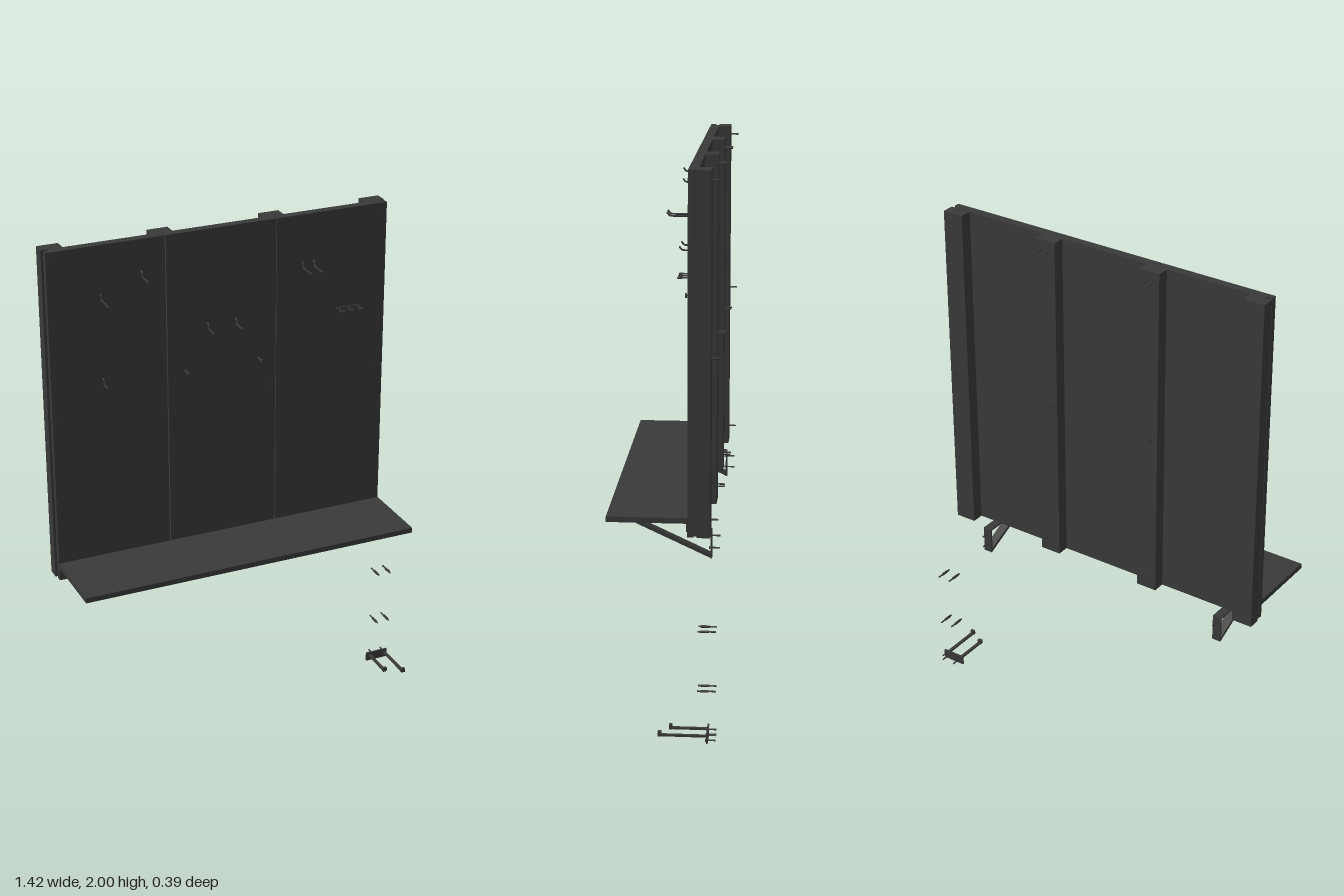
import * as THREE from 'three';

export function createModel() {
  const root = new THREE.Group();
  const charcoal = new THREE.MeshStandardMaterial({ color: 0x3a3a3a });
  charcoal.name = 'charcoal';

  const add = (name, geometry, parent = root) => {
    const mesh = new THREE.Mesh(geometry, charcoal);
    mesh.name = name;
    parent.add(mesh);
    return mesh;
  };
  // Box given by its limits on each axis
  const box = (name, [x0, x1], [y0, y1], [z0, z1], parent) => {
    const m = add(name, new THREE.BoxGeometry(x1 - x0, y1 - y0, z1 - z0), parent);
    m.position.set((x0 + x1) / 2, (y0 + y1) / 2, (z0 + z1) / 2);
    return m;
  };
  // Round bar along z
  const rod = (name, x, y, z0, z1, r, parent) => {
    const m = add(name, new THREE.CylinderGeometry(r, r, z1 - z0, 8), parent);
    m.rotation.x = Math.PI / 2;
    m.position.set(x, y, (z0 + z1) / 2);
    return m;
  };
  // Bent wire following [y, z] points in the plane at x
  const wire = (name, x, points, r, parent) => {
    const path = new THREE.CatmullRomCurve3(points.map(([y, z]) => new THREE.Vector3(x, y, z)), false, 'catmullrom', 0.2);
    return add(name, new THREE.TubeGeometry(path, points.length * 4, r, 6), parent);
  };
  const screw = (x, y, z0, z1, parent) => {
    rod('screwShank', x, y, z0, z1, 0.003, parent);
    rod('screwHead', x, y, z1 - 0.003, z1, 0.006, parent);
  };

  // Wall studs
  for (const x of [-0.675, -0.267, 0.164, 0.568]) box('stud', [x - 0.04, x + 0.04], [0.725, 2], [-0.167, -0.121]);

  // Three wall panels, each with a shallower backing frame
  for (const [a, b] of [[-0.71, -0.27], [-0.266, 0.16], [0.163, 0.604]]) {
    box('wallPanel', [a, b], [0.725, 2], [-0.109, -0.088]);
  }
  box('panelBacking', [-0.69, 0.59], [0.725, 2], [-0.121, -0.109]);

  // Panel screws along the stud lines
  for (const x of [-0.69, -0.285, -0.257, 0.147, 0.177, 0.58]) {
    for (const y of [0.785, 1.357, 1.965]) screw(x, y, -0.195, -0.086);
  }

  // Shelf board
  box('shelf', [-0.71, 0.605], [0.775, 0.795], [-0.088, 0.195]);

  // Shelf brackets: stepped back leg, top arm and sloping brace
  for (const x of [-0.573, 0.465]) {
    const bracket = new THREE.Group();
    bracket.name = 'shelfBracket';
    root.add(bracket);
    const w = [x - 0.017, x + 0.017];
    box('backLeg', w, [0.61, 0.712], [-0.167, -0.161], bracket);
    box('step', w, [0.706, 0.712], [-0.167, -0.075], bracket);
    box('frontLeg', w, [0.706, 0.775], [-0.081, -0.075], bracket);
    box('topArm', w, [0.767, 0.775], [-0.081, 0.18], bracket);
    const brace = add('brace', new THREE.BoxGeometry(0.034, 0.012, 0.358), bracket);
    brace.position.set(x, 0.693, -0.001);
    brace.rotation.x = -Math.atan2(0.15, 0.322);
    for (const y of [0.645, 0.69]) screw(x, y, -0.195, -0.155, bracket);
  }

  // Wall hooks: each has a clip at the wall, an arm and an upturned tip
  const hook = (x, y, reach) => wire('wallHook', x, [
    [y + 0.015, -0.088], [y + 0.012, -0.078], [y - 0.005, -0.072],
    [y - 0.005, reach - 0.012], [y + 0.008, reach],
  ], 0.0035);
  const hooks = [
    [-0.515, 1.805, 0.008], [-0.36, 1.868, -0.005], [-0.515, 1.485, -0.03],
    [-0.11, 1.63, -0.015], [0, 1.63, -0.015], [0.265, 1.805, 0.005], [0.31, 1.805, 0.005],
  ];
  for (const [x, y, reach] of hooks) hook(x, y, reach);

  // Round pegs
  for (const x of [-0.2, 0.09]) {
    rod('peg', x, 1.475, -0.088, -0.045, 0.004);
    rod('pegCap', x, 1.475, -0.05, -0.043, 0.009);
  }

  // Tool holder strip with three rings
  box('toolStrip', [0.405, 0.5], [1.612, 1.62], [-0.088, -0.082]);
  for (const x of [0.415, 0.453, 0.492]) {
    const ring = add('toolRing', new THREE.TorusGeometry(0.008, 0.0025, 6, 12));
    ring.rotation.x = Math.PI / 2;
    ring.position.set(x, 1.616, -0.054);
    rod('ringStem', x, 1.616, -0.088, -0.06, 0.0025);
  }

  // Hook below the shelf
  wire('underShelfHook', -0.465, [[0.775, 0.002], [0.74, 0.002], [0.73, 0.012], [0.73, 0.024], [0.742, 0.03]], 0.0035);

  // Loose two-arm holder at floor level
  const holder = new THREE.Group();
  holder.name = 'armHolder';
  root.add(holder);
  box('holderPlate', [0.617, 0.71], [0.004, 0.04], [-0.168, -0.162], holder);
  for (const [x, tip] of [[0.632, -0.027], [0.697, 0.008]]) {
    box('arm', [x - 0.006, x + 0.006], [0.024, 0.031], [-0.165, tip], holder);
    box('armTip', [x - 0.008, x + 0.008], [0.024, 0.041], [tip - 0.012, tip], holder);
  }
  for (const x of [0.645, 0.697]) for (const y of [0.012, 0.031]) screw(x, y, -0.195, -0.159, holder);

  // Loose screws
  for (const x of [0.645, 0.696]) for (const y of [0.195, 0.415]) {
    rod('looseScrew', x, y, -0.195, -0.13, 0.003);
    rod('looseAnchor', x, y, -0.17, -0.14, 0.005);
  }
  return root;
}
